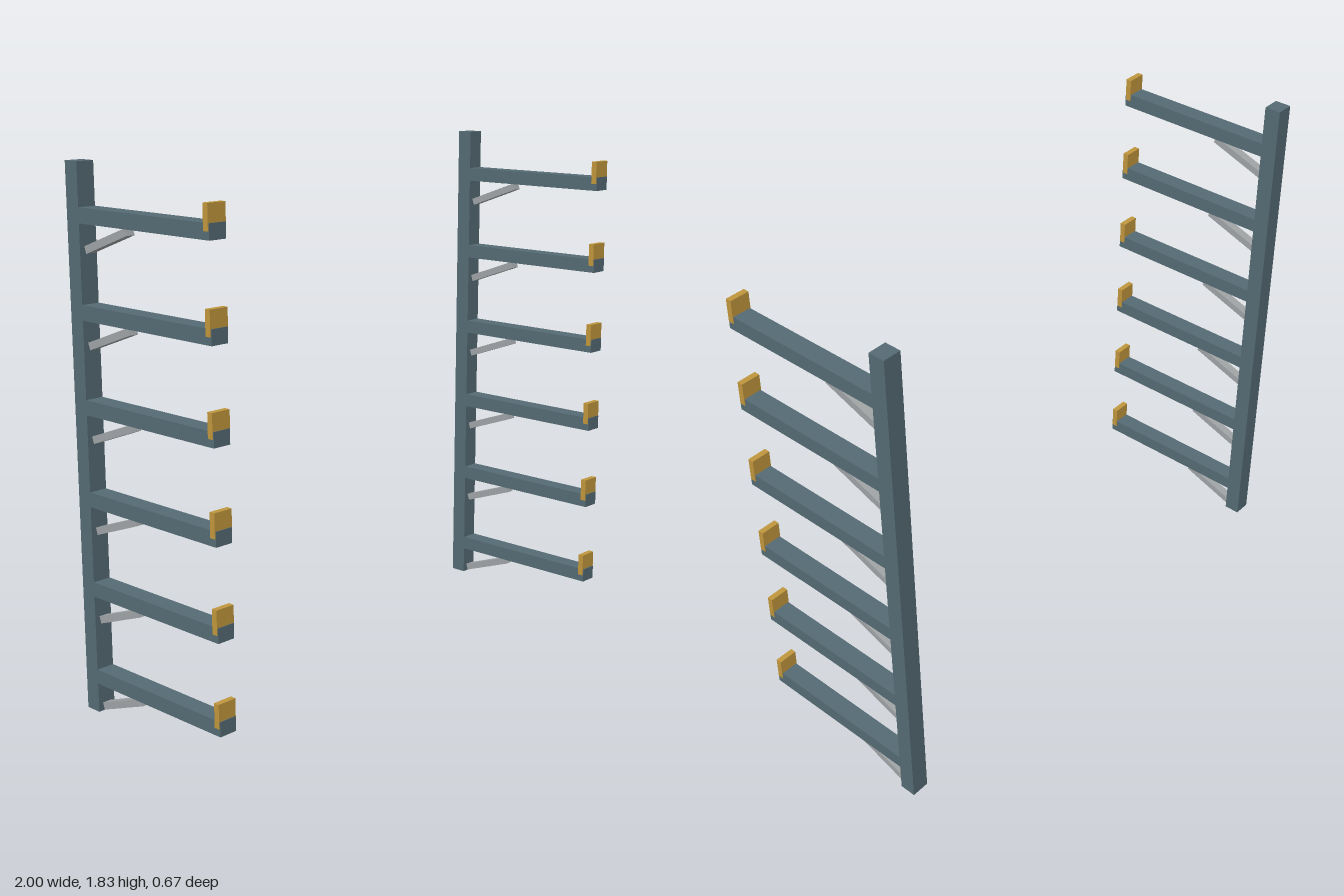
import * as THREE from 'three';

const steel = new THREE.MeshStandardMaterial({ color: 0x546a73 });
const gold = new THREE.MeshStandardMaterial({ color: 0xbf963c });
const grey = new THREE.MeshStandardMaterial({ color: 0x9fa3a5 });

function box(name, material, w, h, d, y, z) {
  const mesh = new THREE.Mesh(new THREE.BoxGeometry(w, h, d), material);
  mesh.name = name;
  mesh.position.set(0, y, z);
  return mesh;
}

// One level: arm, end stop and slanted brace, centred on the arm's height
function createLevel(y) {
  const level = new THREE.Group();
  level.name = 'armLevel';
  level.position.y = y;
  level.add(box('arm', steel, 0.065, 0.05, 0.608, 0, 0.029));
  level.add(box('endStop', gold, 0.07, 0.082, 0.021, 0.042, 0.32));
  const brace = box('brace', grey, 0.032, 0.025, 0.216, -0.073, -0.168);
  brace.rotation.x = -THREE.MathUtils.degToRad(20);
  level.add(brace);
  return level;
}

export function createModel() {
  const rack = new THREE.Group();
  rack.name = 'cantileverRack';
  for (const side of [-1, 1]) {
    const upright = new THREE.Group();
    upright.name = side > 0 ? 'leftUpright' : 'rightUpright';
    upright.position.x = side * 0.965;
    upright.add(box('post', steel, 0.065, 1.834, 0.059, 0.917, -0.304));
    for (let i = 0; i < 6; i++) upright.add(createLevel(0.127 + i * 0.308));
    rack.add(upright);
  }
  return rack;
}
